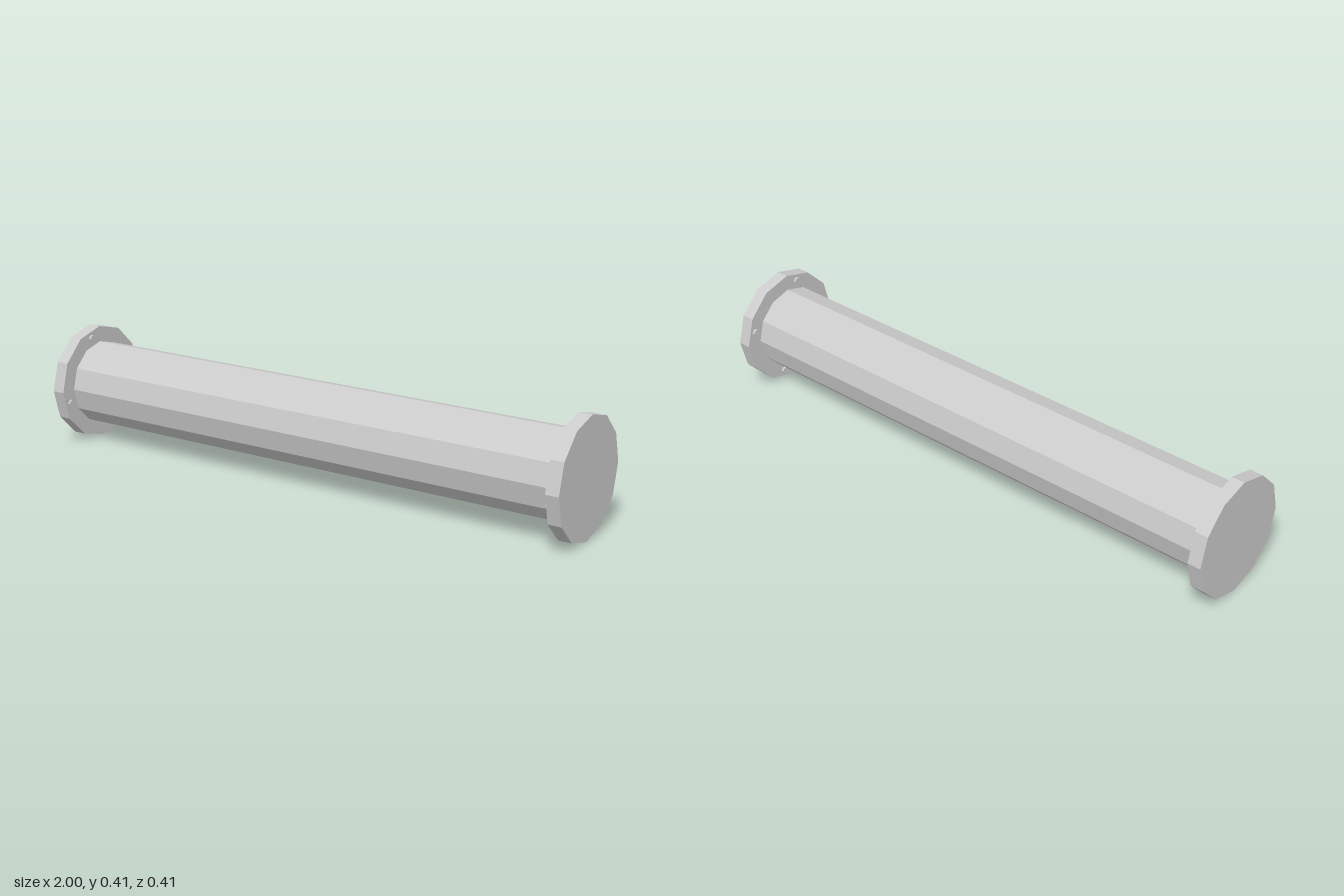
import * as THREE from 'three';

const AXIS_Y = 0.204;

export function createModel() {
  const model = new THREE.Group();
  model.name = 'flangedPipe';
  const material = new THREE.MeshStandardMaterial({ color: 0xcccccc, flatShading: true });

  // Cylinder lying along x, with a corner pointing straight up
  const addRod = (parent, name, radius, length, sides, x, y, z) => {
    const geometry = new THREE.CylinderGeometry(radius, radius, length, sides);
    geometry.rotateZ(Math.PI / 2);
    const mesh = new THREE.Mesh(geometry, material);
    mesh.name = name;
    mesh.position.set(x, y, z);
    parent.add(mesh);
  };

  // Main tube
  addRod(model, 'pipe', 0.148, 1.92, 12, 0, AXIS_Y, 0);

  // End flanges, each with four bolts on its inner face
  for (const side of [1, -1]) {
    const end = new THREE.Group();
    end.name = side > 0 ? 'leftEnd' : 'rightEnd';
    end.position.y = AXIS_Y;
    addRod(end, 'flange', 0.204, 0.046, 12, side * 0.977, 0, 0);
    for (let i = 0; i < 4; i++) {
      const angle = -Math.PI / 12 + (i * Math.PI) / 2;
      addRod(end, 'bolt', 0.013, 0.02, 8, side * 0.955,
        0.174 * Math.sin(angle), 0.174 * Math.cos(angle));
    }
    model.add(end);
  }

  return model;
}
